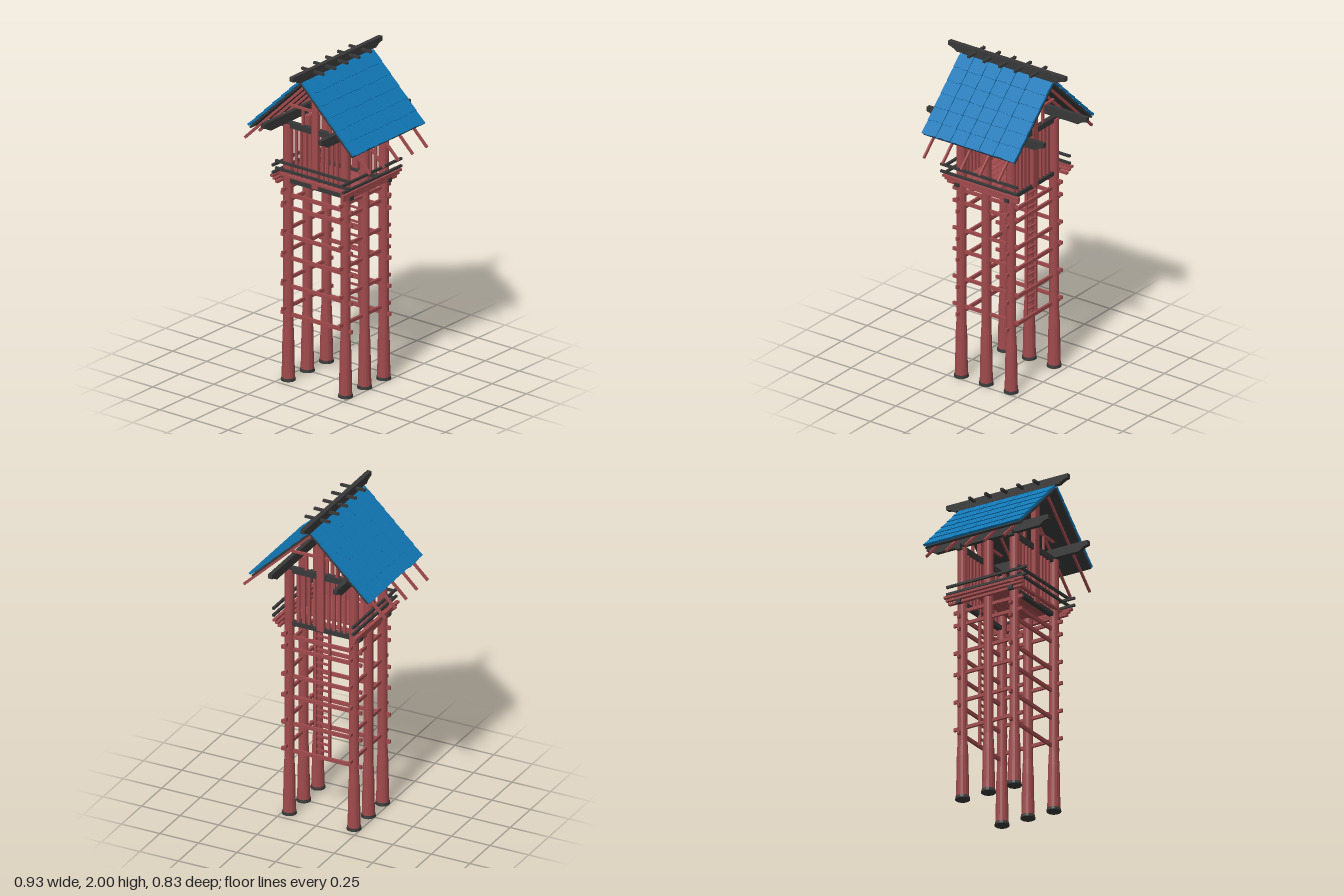
import * as THREE from 'three';

const mat = (color) => new THREE.MeshStandardMaterial({ color, flatShading: true });

export function createModel() {
  const model = new THREE.Group();
  const red = mat(0xa04a4c), dark = mat(0x383838), blue = mat(0x1177b5);
  const SIDES = [-1, 1];

  let seed = 7;
  const rand = () => ((seed = (seed * 16807) % 2147483647) / 2147483647) - 0.5;

  const group = (name, parent = model) => {
    const g = new THREE.Group();
    g.name = name;
    parent.add(g);
    return g;
  };
  const add = (parent, name, geometry, material, x = 0, y = 0, z = 0) => {
    const m = new THREE.Mesh(geometry, material);
    m.name = name;
    m.position.set(x, y, z);
    parent.add(m);
    return m;
  };
  const box = (parent, name, material, w, h, d, x, y, z) =>
    add(parent, name, new THREE.BoxGeometry(w, h, d), material, x, y, z);

  // Beam along z whose ends are cut in steps on the underside
  const steppedBeam = (name, width, top, bottom, half, x) => {
    const h = top - bottom;
    const right = [[half - 0.06, 0], [half - 0.045, h * 0.2], [half - 0.025, h * 0.4], [half, h * 0.5], [half, h]];
    const left = right.map(([a, b]) => [-a, b]).reverse();
    const shape = new THREE.Shape([...right, ...left].map(([a, b]) => new THREE.Vector2(a, b)));
    const g = new THREE.ExtrudeGeometry(shape, { depth: width, bevelEnabled: false });
    g.translate(0, 0, -width / 2).rotateY(Math.PI / 2);
    add(model, name, g, dark, x, bottom, 0);
  };

  // Six columns, flared at the foot, each on a dark pad
  const columns = group('columns');
  const profile = [[0, 0.01], [0.039, 0.01], [0.036, 0.15], [0.034, 0.27], [0.029, 0.37], [0.029, 1.59], [0, 1.59]]
    .map(([r, y]) => new THREE.Vector2(r, y));
  for (const s of SIDES) for (const z of [-0.177, 0, 0.177]) {
    add(columns, 'column', new THREE.LatheGeometry(profile, 14), red, s * 0.21, 0, z);
    add(columns, 'columnFoot', new THREE.CylinderGeometry(0.041, 0.044, 0.018, 14), dark, s * 0.21, 0.009, z);
  }

  // Tie bars passing through the columns
  const ties = group('tieBars');
  for (const y of [0.41, 0.585, 0.76, 0.895, 1.07, 1.15]) for (const s of SIDES) {
    box(ties, 'crossTie', red, 0.52, 0.022, 0.014, 0, y, s * 0.177);
    box(ties, 'sideTie', red, 0.014, 0.02, 0.47, s * 0.21, y + 0.043, 0);
  }

  // Ladder at the back
  const ladder = group('ladder');
  for (const s of SIDES) box(ladder, 'ladderRail', red, 0.013, 0.85, 0.016, s * 0.045, 0.83, -0.165);
  for (let i = 0; i < 19; i++) box(ladder, 'rung', red, 0.08, 0.012, 0.01, 0, 0.45 + i * 0.0435, -0.165);

  // Platform: planks with a hatch over the ladder, stacked side boards, dark sill beams
  const platform = group('platform');
  for (let i = 0; i < 6; i++) box(platform, 'plank', red, 0.4, 0.012, 0.04, 0, 1.265, 0.15 - i * 0.043);
  for (const s of SIDES) {
    box(platform, 'sideBoard', red, 0.02, 0.014, 0.54, s * 0.26, 1.281, 0);
    box(platform, 'sideBoard', red, 0.02, 0.012, 0.52, s * 0.25, 1.262, 0);
    box(platform, 'sideBoard', red, 0.02, 0.014, 0.5, s * 0.24, 1.242, 0);
    box(platform, 'sillBeam', dark, 0.52, 0.026, 0.03, 0, 1.243, s * 0.177);
  }
  box(platform, 'frontBoard', red, 0.54, 0.014, 0.02, 0, 1.275, 0.2);

  // Crossing handrails on the front and both sides
  const railing = group('railing');
  for (const y of [1.32, 1.365]) {
    box(railing, 'frontRail', dark, 0.545, 0.014, 0.014, 0.013, y, 0.232);
    for (const x of [-0.245, 0.27]) box(railing, 'sideRail', dark, 0.014, 0.014, 0.545, x, y - 0.012, 0.008);
  }

  // Front and back gable walls: slats, king post, head beam and upper frame
  for (const s of SIDES) {
    const wall = group(s > 0 ? 'frontWall' : 'backWall');
    const z = s * 0.177;
    box(wall, 'kingPost', red, 0.044, 0.66, 0.03, 0, 1.57, z + s * 0.008);
    box(wall, 'headBeam', dark, 0.52, 0.035, 0.03, 0, 1.588, z);
    box(wall, 'collarTie', red, 0.41, 0.014, 0.014, 0, 1.708, z);
    for (const t of SIDES) {
      box(wall, 'strut', red, 0.014, 0.11, 0.014, t * 0.1, 1.655, z);
      for (const x of [0.045, 0.08, 0.115, 0.15]) box(wall, 'slat', red, 0.017, 0.32, 0.014, t * x, 1.415, z);
    }
  }

  // Long dark beams: one above each row of columns and one on the ridge
  for (const s of SIDES) steppedBeam('eaveBeam', 0.026, 1.66, 1.603, 0.415, s * 0.21);
  steppedBeam('ridgeBeam', 0.028, 2.0, 1.948, 0.415, 0);
  const ridge = group('ridgePegs');
  for (let i = -2; i <= 2; i++) box(ridge, 'ridgePeg', dark, 0.16, 0.014, 0.016, 0.005, 1.98, i * 0.11);

  // Roof halves: the second is the first turned about the vertical axis
  const slope = 0.768, length = 0.52;
  const seams = [-0.33, -0.18, -0.077, 0.025, 0.125, 0.227, 0.33];
  for (const turn of [0, Math.PI]) {
    const half = group(turn ? 'roofLeft' : 'roofRight');
    half.rotation.y = turn;
    const pitch = group('slope', half);
    pitch.position.set(0.02, 1.95, 0);
    pitch.rotation.z = -slope;
    box(pitch, 'roofBoard', dark, length, 0.012, 0.65, length / 2, -0.027, 0);
    for (let i = -2; i <= 2; i++) box(pitch, 'rafter', red, 0.67, 0.016, 0.011, 0.315, -0.042, i * 0.132);
    // Tiles with slightly uneven lower edges, each course tipped over the next
    const step = length / 6;
    for (let c = 0; c < 6; c++) for (let r = 0; r < 6; r++) {
      const z0 = seams[c], z1 = seams[c + 1];
      const g = new THREE.BoxGeometry(step + 0.003, 0.014, z1 - z0 - 0.004, 1, 1, 3);
      const p = g.attributes.position;
      const wobble = [0, 1, 2, 3].map(() => rand() * 0.007);
      for (let i = 0; i < p.count; i++) if (p.getX(i) > 0) {
        const k = Math.round((p.getZ(i) / (z1 - z0 - 0.004) + 0.5) * 3);
        p.setX(i, p.getX(i) + wobble[k]);
      }
      g.computeVertexNormals();
      const tile = add(pitch, 'roofTile', g, blue, (r + 0.5) * step, -0.011, (z0 + z1) / 2);
      tile.rotation.z = 0.05;
    }
  }
  return model;
}
